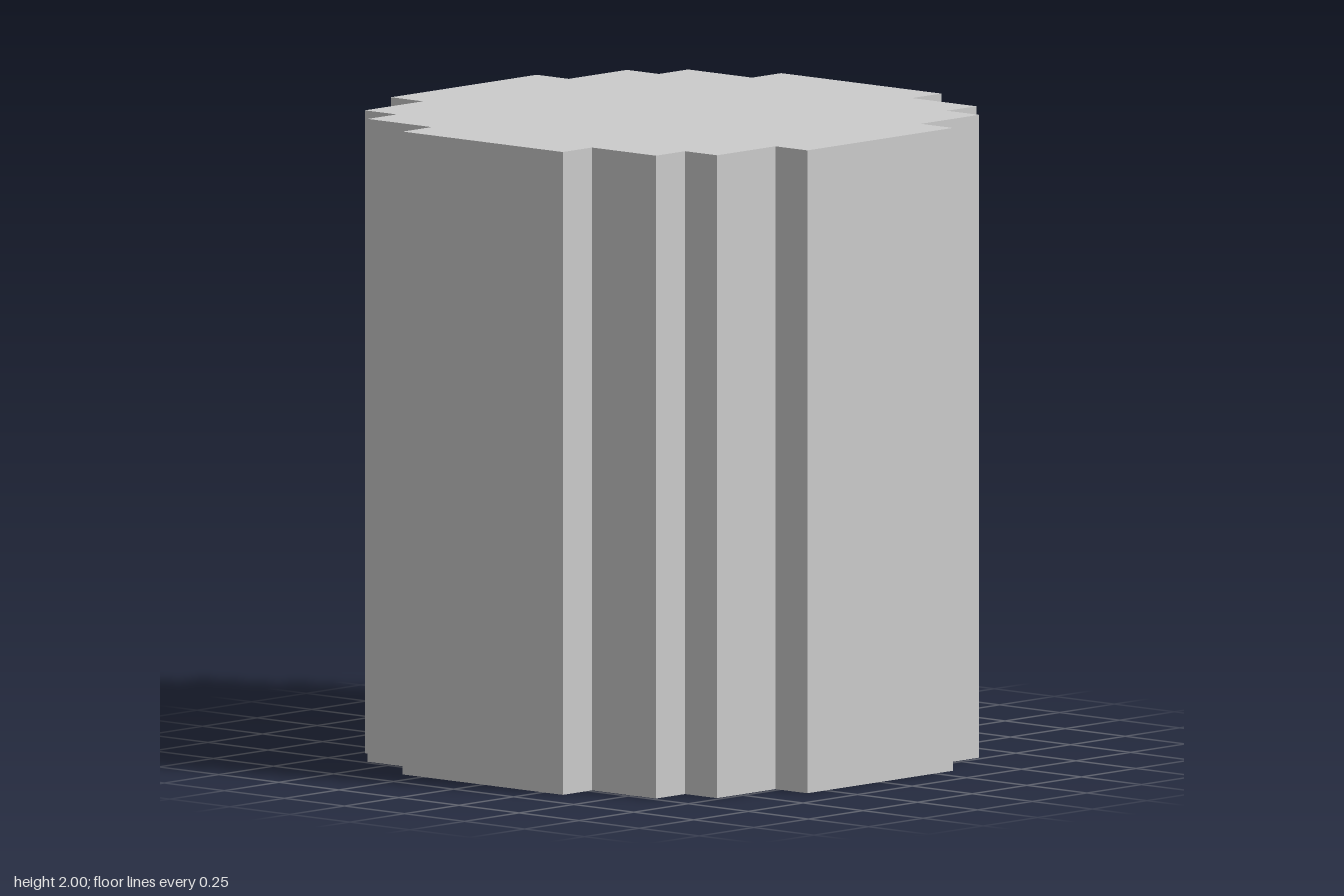
import * as THREE from 'three';

const HEIGHT = 2;
const UNIT = HEIGHT / 15; // width of one small step

// Stepped corner of the outline, in steps, counter-clockwise
const CORNER = [[6.5, 2.5], [5.5, 2.5], [5.5, 4.5], [4.5, 4.5], [4.5, 5.5], [2.5, 5.5], [2.5, 6.5]];

export function createModel() {
  const group = new THREE.Group();
  group.name = 'steppedColumn';

  // Turn the corner through four quarters to close the round outline
  const outline = [];
  for (let quarter = 0; quarter < 4; quarter++) {
    for (const [x, y] of CORNER) {
      outline.push(new THREE.Vector2(x, y).multiplyScalar(UNIT)
        .rotateAround(new THREE.Vector2(), quarter * Math.PI / 2));
    }
  }

  // Solid column, extruded upwards from the ground
  const geometry = new THREE.ExtrudeGeometry(new THREE.Shape(outline), { depth: HEIGHT, bevelEnabled: false });
  geometry.rotateX(-Math.PI / 2);
  const column = new THREE.Mesh(geometry, new THREE.MeshStandardMaterial({ color: 0xcccccc, flatShading: true }));
  column.name = 'columnBody';
  group.add(column);
  return group;
}
